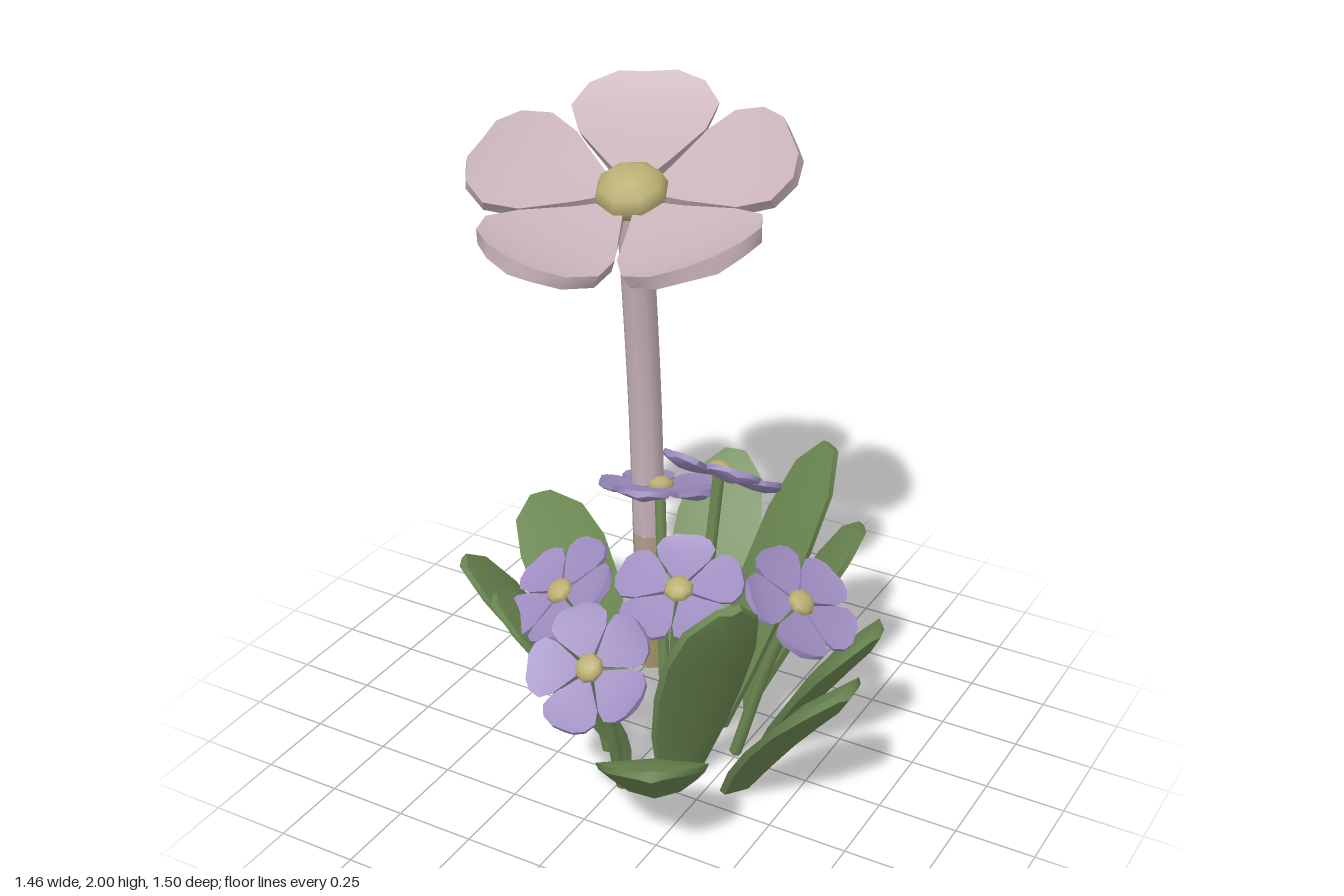
import * as THREE from 'three';
import { toCreasedNormals } from 'three/addons/utils/BufferGeometryUtils.js';

const V = (x, y, z) => new THREE.Vector3(x, y, z);
const UP = V(0, 1, 0);

// Thick blade swept along a path: ridged or grooved top, rim thickness, keeled underside
function blade(points, halfWidths, side, rim, groove, keel) {
  const rings = points.map((p, j) => {
    const tangent = points[Math.min(j + 1, points.length - 1)].clone()
      .sub(points[Math.max(j - 1, 0)]).normalize();
    const normal = tangent.cross(side).normalize();
    const w = halfWidths[j], g = groove * w, k = rim + keel * w;
    return [[w, 0], [0, -g], [-w, 0], [-w * 0.94, -rim], [0, -k], [w * 0.94, -rim]]
      .map(([s, n]) => p.clone().addScaledVector(side, s).addScaledVector(normal, n));
  });
  const pos = [];
  const tri = (...vs) => vs.forEach(v => pos.push(v.x, v.y, v.z));
  for (let j = 0; j < rings.length - 1; j++) {
    const a = rings[j], b = rings[j + 1];
    for (let i = 0; i < 6; i++) {
      const k = (i + 1) % 6;
      tri(a[i], a[k], b[i]);
      tri(a[k], b[k], b[i]);
    }
  }
  // End caps
  const s = rings[0], e = rings[rings.length - 1];
  for (const [i, j, k] of [[0, 1, 4], [0, 4, 5], [1, 2, 3], [1, 3, 4]]) {
    tri(e[i], e[j], e[k]);
    tri(s[i], s[k], s[j]);
  }
  const geo = new THREE.BufferGeometry();
  geo.setAttribute('position', new THREE.Float32BufferAttribute(pos, 3));
  return toCreasedNormals(geo, 0.8);
}

function tube(points, radius, sides) {
  return new THREE.TubeGeometry(new THREE.CatmullRomCurve3(points), 8, radius, sides, false);
}

export function createModel() {
  const mat = (name, color) => new THREE.MeshStandardMaterial({ name, color });
  const pink = mat('palePink', 0xc9b3bb);
  const purple = mat('lavender', 0x9d8cbf);
  const green = mat('leafGreen', 0x6c8852);
  const yellow = mat('softYellow', 0xb9ae72);
  const tan = mat('stemTan', 0xa89664);
  const blush = mat('stemBlush', 0xb5a08f);

  const model = new THREE.Group();
  model.name = 'flowerPlant';
  const add = (parent, name, geo, material) => {
    const m = new THREE.Mesh(geo, material);
    m.name = name;
    parent.add(m);
    return m;
  };

  // Five-petalled flower head
  function flower(name, center, normal, size, startAngle, petalMat, rim, cup, keel, eye) {
    const g = new THREE.Group();
    g.name = name;
    const stations = [[0.1, 0.03], [0.3, 0.19], [0.56, 0.4], [0.76, 0.47], [0.92, 0.37], [1, 0.19]];
    const geo = blade(
      stations.map(([r]) => V(r * size, cup * size * r * r, 0)),
      stations.map(s => s[1] * size), V(0, 0, -1), rim, 0.06, keel);
    for (let i = 0; i < 5; i++) {
      add(g, 'petal', geo, petalMat).rotation.y = -(startAngle + i * 72) * Math.PI / 180;
    }
    // Flattened ball in the middle, showing below between the petals
    const c = add(g, 'flowerCenter', new THREE.SphereGeometry(eye, 8, 6), yellow);
    c.scale.y = 0.65;
    c.position.y = eye * 0.1;
    g.position.copy(center);
    g.quaternion.setFromUnitVectors(UP, normal.clone().normalize());
    model.add(g);
  }

  // Tall flower and its stem, tinted towards the foot
  flower('tallFlower', V(-0.19, 1.755, -0.14), V(0.06, 1, 0.32), 0.48, 32, pink, 0.042, 0.2, 0.16, 0.112);
  add(model, 'tallStem', tube([V(-0.213, 0.56, -0.27), V(-0.213, 1, -0.25),
    V(-0.205, 1.4, -0.205), V(-0.195, 1.7, -0.158)], 0.053, 9), pink);
  add(model, 'stemMiddle', tube([V(-0.214, 0.45, -0.275), V(-0.213, 0.56, -0.27)], 0.053, 9), blush);
  add(model, 'stemFoot', tube([V(-0.218, 0.04, -0.3), V(-0.214, 0.45, -0.275)], 0.053, 9), tan);
  const foot = add(model, 'stemFootCap', new THREE.CircleGeometry(0.053, 9), tan);
  foot.rotation.x = Math.PI / 2;
  foot.position.set(-0.218, 0.04, -0.3);

  // Small flowers: centre, facing direction, first petal angle
  [
    [V(0.46, 0.635, 0), V(0.6, 0.82, 0.03), -15],
    [V(0.175, 0.72, 0.23), V(0.08, 0.9, 0.38), 35],
    [V(0.05, 0.58, 0.53), V(0, 0.7, 0.7), 20],
    [V(-0.19, 0.64, 0.3), V(-0.38, 0.8, 0.45), 0],
    [V(0.075, 0.88, -0.21), V(0.03, 0.82, -0.52), 50],
    [V(-0.16, 0.745, -0.25), V(-0.12, 0.95, -0.28), 10],
  ].forEach(([c, n, a]) => {
    flower('smallFlower', c, n, 0.19, a, purple, 0.016, 0.1, 0.24, 0.045);
    const base = V(c.x * 0.55, 0.02, c.z * 0.6);
    const neck = c.clone().addScaledVector(n.clone().normalize(), -0.015);
    const bend = neck.clone().lerp(base, 0.4).addScaledVector(UP, 0.05);
    add(model, 'stalk', tube([base, bend, neck], 0.02, 6), green);
  });

  // Leaves: foot x, z; tip x, y, z; width factor
  const leafStations = [[0, 0.085], [0.2, 0.135], [0.42, 0.16], [0.65, 0.163], [0.86, 0.13], [1, 0.04]];
  [
    [-0.07, -0.28, -0.14, 0.66, -0.73, 0.9],
    [-0.29, -0.12, -0.7, 0.51, -0.38, 0.95],
    [-0.15, 0.09, -0.5, 0.68, 0.34, 0.95],
    [-0.04, 0.16, -0.36, 0.62, 0.39, 0.95],
    [0.12, 0.28, 0.36, 0.45, 0.72, 1],
    [0.33, 0.12, 0.71, 0.54, 0.22, 1.05],
    [0.31, -0.12, 0.66, 0.55, -0.1, 1],
    [0.14, 0.16, 0.41, 0.81, 0.37, 0.9],
    [0.1, -0.14, 0.34, 0.94, -0.42, 0.95],
    [0.15, -0.26, 0.46, 0.69, -0.41, 0.9],
  ].forEach(([bx, bz, tx, ty, tz, k]) => {
    const base = V(bx, 0.025, bz), tip = V(tx, ty, tz);
    const out = V(tx - bx, 0, tz - bz).normalize();
    const mid = base.clone().lerp(tip, 0.5).addScaledVector(UP, 0.11);
    const curve = new THREE.QuadraticBezierCurve3(base, mid, tip);
    const side = UP.clone().cross(out);
    add(model, 'leaf', blade(leafStations.map(s => curve.getPoint(s[0])),
      leafStations.map(s => s[1] * k), side, 0.02, -0.08, 0.26), green);
  });

  return model;
}
